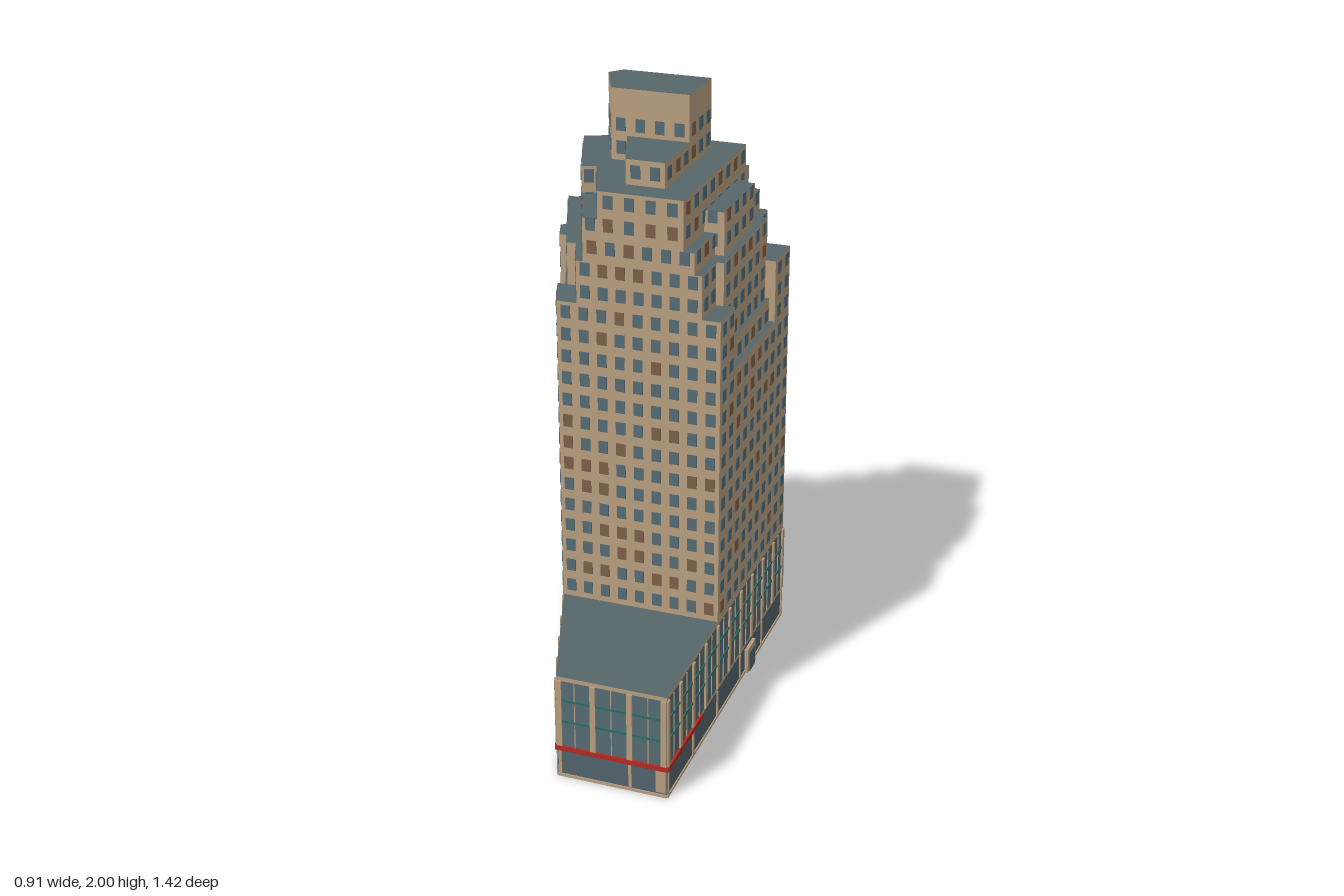
import * as THREE from 'three';
import { mergeGeometries } from 'three/addons/utils/BufferGeometryUtils.js';

const mat = (name, color) => {
  const m = new THREE.MeshStandardMaterial({ color });
  m.name = name;
  return m;
};

export function createModel() {
  const stone = mat('tan stone', 0xb89f80);
  const roof = mat('grey roof', 0x566669);
  const glass = mat('blue glass', 0x566c74);
  const blind = mat('brown blind', 0x7d6048);
  const base = mat('slate base', 0x52626a);
  const green = mat('green band', 0x2f6b66);
  const red = mat('red band', 0xb02a20);

  const model = new THREE.Group();
  model.name = 'building';
  // plan axes: u runs along the front wall, v runs backwards from the right front corner
  const plan = new THREE.Group();
  plan.name = 'plan';
  plan.position.set(0.095, 0, 0.279);
  plan.rotation.y = -0.502;
  model.add(plan);

  let seed = 7;
  const rand = () => (seed = (seed * 16807) % 2147483647) / 2147483647;
  const toV = (pts) => pts.map((p) => new THREE.Vector2(p[0], p[1]));

  // vertical block on a counter-clockwise (u, v) outline
  function block(name, pts, y0, y1, side = stone, top = roof, hollow = 0) {
    const shape = new THREE.Shape(toV(pts));
    if (hollow) {
      const c = [-0.31, 0.2];
      const k = 1 - hollow;
      shape.holes.push(new THREE.Path(toV(pts.map((p) => p.map((q, i) => c[i] + (q - c[i]) * k)))));
    }
    const g = new THREE.ExtrudeGeometry(shape, { depth: y1 - y0, bevelEnabled: false });
    g.rotateX(-Math.PI / 2).translate(0, y0, 0);
    const mesh = new THREE.Mesh(g, [top, side]);
    mesh.name = name;
    plan.add(mesh);
  }

  // thin plates on walls, gathered by part and merged at the end
  const plates = new Map();
  function plate(name, material, a, b, t, y, w, h, d = 0.006) {
    const dx = b[0] - a[0], dy = b[1] - a[1];
    const g = new THREE.BoxGeometry(w, h, d);
    g.rotateY(Math.atan2(dy, dx));
    g.translate(a[0] + dx * t, y, -(a[1] + dy * t));
    if (!plates.has(name)) plates.set(name, { material, list: [] });
    plates.get(name).list.push(g);
  }
  const edges = (pts, fn) => pts.forEach((a, i) => {
    const b = pts[(i + 1) % pts.length];
    fn(a, b, Math.hypot(b[0] - a[0], b[1] - a[1]), i);
  });

  // window grid on every wall of a storey block
  function windows(pts, y0, y1) {
    edges(pts, (a, b, len) => {
      const across = Math.abs(b[0] - a[0]) > Math.abs(b[1] - a[1]);
      const n = Math.floor(len / (across ? 0.0595 : 0.0715) + 0.3);
      for (let r = 0; r <= 20; r++) {
        const y = 0.404 + 0.0741 * r;
        if (y - 0.015 < y0 || y + 0.015 > y1) continue;
        for (let i = 0; i < n; i++) {
          const brown = rand() < 0.2;
          plate(brown ? 'blindWindows' : 'windows', brown ? blind : glass,
            a, b, (i + 0.5) / n, y, across ? 0.031 : 0.035, 0.042);
        }
      }
    });
  }
  function storeys(name, pts, y0, y1) {
    block(name, pts, y0, y1);
    windows(pts, y0, y1);
  }

  // left wall line, shifted inwards by d
  const L = (v, d = 0) => [-0.535 - 0.398 * v + d, v];
  const back = [[0, 0.714], [-0.128, 0.714], [-0.128, 0.673], [-0.608, 0.673],
    [-0.613, 0.714], [-0.744, 0.714], [-0.793, 0.647]];

  // tower shaft and stepped crown
  storeys('shaft', [[0, 0], ...back, L(0)], 0.36, 1.19);
  storeys('shoulders', [[0, 0], [0, 0.136], [-0.035, 0.136], [-0.035, 0.557], [0, 0.557],
    ...back, L(0.56), L(0.56, 0.035), L(0.14, 0.035), L(0.14), L(0)], 1.19, 1.4);
  storeys('rightLedge', [[-0.04, 0.136], [-0.02, 0.136], [-0.02, 0.557], [-0.04, 0.557]], 1.19, 1.27);
  storeys('leftLedge', [L(0.14, 0.018), L(0.14, 0.04), L(0.56, 0.04), L(0.56, 0.018)], 1.19, 1.27);
  storeys('lowerSetback', [[-0.06, 0], [-0.06, 0.13], [-0.035, 0.13], [-0.035, 0.57], [-0.06, 0.57],
    [-0.06, 0.65], [-0.64, 0.65], L(0.56, 0.067), L(0.56, 0.035), L(0.14, 0.035),
    L(0.14, 0.067), L(0, 0.067)], 1.4, 1.54);
  storeys('middleSetback', [[-0.085, 0], [-0.085, 0.64], [-0.61, 0.64], L(0.54, 0.09), L(0, 0.09)], 1.54, 1.61);
  storeys('rightBay', [[-0.13, 0.19], [-0.055, 0.19], [-0.055, 0.49], [-0.13, 0.49]], 1.54, 1.68);
  storeys('backBay', [[-0.51, 0.59], [-0.12, 0.59], [-0.12, 0.63], [-0.51, 0.63]], 1.61, 1.69);
  storeys('leftBay', [L(0, 0.09), [-0.39, 0], [-0.48, 0.23], L(0.23, 0.09)], 1.61, 1.68);
  storeys('upperSetback', [[-0.12, 0], [-0.12, 0.597], [-0.552, 0.597], [-0.557, 0.544], [-0.642, 0.506],
    [-0.531, 0.21], [-0.486, 0.226], [-0.395, 0]], 1.61, 1.77);
  storeys('lowPenthouse', [[-0.21, 0.088], [-0.21, 0.307], [-0.415, 0.307], [-0.336, 0.088]], 1.77, 1.85);
  storeys('highPenthouse', [[-0.21, 0.307], [-0.21, 0.513], [-0.503, 0.513], [-0.539, 0.469],
    [-0.467, 0.307]], 1.77, 2);

  // hollow podium
  const foot = [[-0.363, -0.476], [0, -0.477], ...back, L(0)];
  block('podiumBase', foot, 0, 0.1, base, stone, 0.03);
  block('podiumBelt', foot, 0.1, 0.112, stone, stone, 0.03);
  block('podiumGlazing', foot, 0.112, 0.348, glass, glass, 0.03);
  block('podiumRoof', foot, 0.348, 0.362);

  // pillars, bands and plinth on each podium wall
  edges(foot, (a, b, len) => {
    const n = Math.max(1, Math.round(len / 0.114));
    for (let i = 0; i <= n; i++) {
      const t = Math.min(Math.max(i / n, 0.009 / len), 1 - 0.009 / len);
      plate('pillars', stone, a, b, t, 0.23, 0.018, 0.236, 0.012);
      if (i % 2 === 0) plate('basePosts', stone, a, b, t, 0.05, 0.01, 0.1, 0.008);
      if (i < n) plate('mullions', stone, a, b, (i + 0.5) / n, 0.23, 0.003, 0.236);
    }
    for (const y of [0.205, 0.28]) plate('greenBands', green, a, b, 0.5, y, len, 0.008, 0.008);
    plate('plinth', stone, a, b, 0.5, 0.005, len, 0.01, 0.008);
  });

  // red band round the front end
  const [fl, fr] = foot;
  plate('redBand', red, fl, fr, 0.5, 0.106, 0.375, 0.016, 0.016);
  plate('redBand', red, fr, [0, -0.16], 0.5, 0.106, 0.317, 0.016, 0.016);
  plate('redBand', red, L(0), fl, 0.82, 0.106, 0.18, 0.016, 0.016);

  // doorways
  plate('sideDoorFrame', stone, [0, 0], [0, 0.714], 0.47, 0.045, 0.085, 0.09, 0.024);
  plate('sideDoor', base, [0, 0], [0, 0.714], 0.47, 0.036, 0.055, 0.072, 0.03);
  plate('cornerDoorFrame', stone, fl, fr, 0.95, 0.06, 0.034, 0.08, 0.016);

  for (const [name, { material, list }] of plates) {
    const mesh = new THREE.Mesh(mergeGeometries(list), material);
    mesh.name = name;
    plan.add(mesh);
  }
  return model;
}
